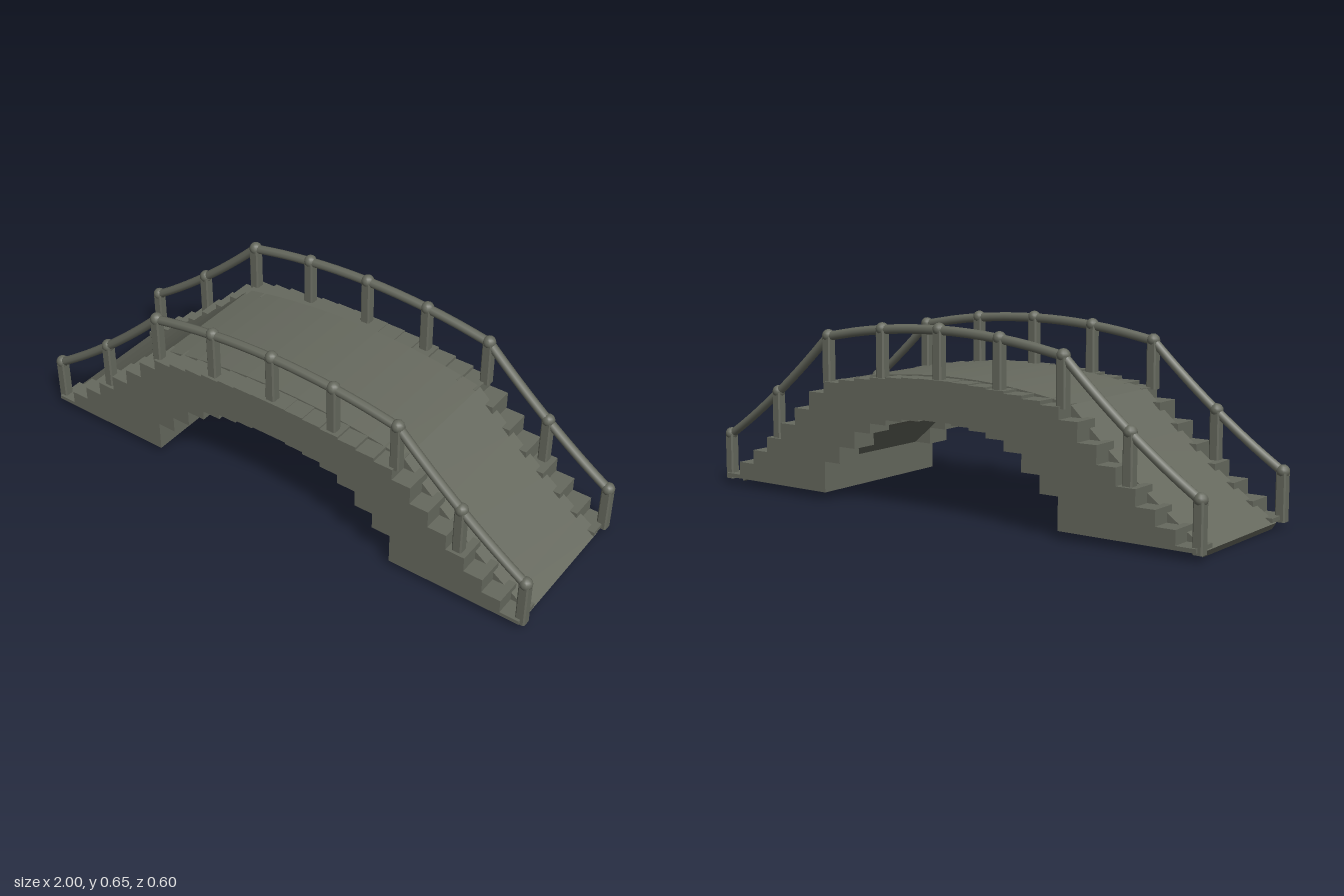
import * as THREE from 'three';

const STEP = 0.07, HALF = 0.98, KNEE = 0.49, BASE = 0.03;

// Height of the walking surface: concave ramps joined by a shallow crown
function deckY(x) {
  const a = Math.abs(x);
  if (a <= KNEE) return 0.471 - 0.051 * (a / KNEE) ** 2;
  const u = (HALF - a) / KNEE;
  return 0.026 + 0.314 * u + 0.08 * u * u;
}

// Height of the arch underside, sampled every step from the crown outwards
const SOFFIT = [0.33, 0.328, 0.322, 0.313, 0.295, 0.26, 0.2, 0.14];
const soffitCurve = new THREE.SplineCurve(
  [...SOFFIT.slice(1).map((y, i) => new THREE.Vector2(-(i + 1) * STEP, y)).reverse(),
    ...SOFFIT.map((y, i) => new THREE.Vector2(i * STEP, y))]);

function extrude(points, z0, z1) {
  const geo = new THREE.ExtrudeGeometry(new THREE.Shape(points), { depth: z1 - z0, bevelEnabled: false });
  return geo.translate(0, 0, z0);
}

// Stepped outline of a side wall, blocky above and below
function wallPoints() {
  const top = [], bottom = [];
  for (let i = 0; i < 28; i++) {
    const x0 = -HALF + i * STEP, x1 = x0 + STEP, mid = (x0 + x1) / 2;
    const outer = Math.round(Math.max(Math.abs(x0), Math.abs(x1)) / STEP);
    const yt = deckY(mid) - 0.005;
    const yb = outer > 7 ? BASE : SOFFIT[outer];
    top.push(new THREE.Vector2(x0, yt), new THREE.Vector2(x1, yt));
    // Merge the flat feet so that no corner is doubled
    if (outer <= 7 || i === 0 || i === 21) bottom.push(new THREE.Vector2(x0, yb));
    if (outer <= 7 || i === 6 || i === 27) bottom.push(new THREE.Vector2(x1, yb));
  }
  return [...bottom, ...top.reverse()];
}

// Smooth arch body between the walls
function corePoints() {
  const pts = [new THREE.Vector2(-0.95, BASE), new THREE.Vector2(-KNEE, BASE)];
  pts.push(...soffitCurve.getPoints(56));
  pts.push(new THREE.Vector2(KNEE, BASE), new THREE.Vector2(0.95, BASE));
  for (let i = 0; i <= 38; i++) {
    const x = 0.95 - i * 0.05;
    pts.push(new THREE.Vector2(x, deckY(x) - 0.012));
  }
  return pts;
}

// Square post with chamfered edges, standing on its origin
function postGeometry(height) {
  const h = 0.018, c = 0.013;
  const pts = [[h, -c], [h, c], [c, h], [-c, h], [-h, c], [-h, -c], [-c, -h], [c, -h]]
    .map(([x, y]) => new THREE.Vector2(x, y));
  return extrude(pts, 0, height).rotateX(-Math.PI / 2);
}

export function createModel() {
  const stone = new THREE.MeshStandardMaterial({ color: 0x66695e });
  stone.name = 'greyGreenStone';
  const model = new THREE.Group();
  model.name = 'archedFootbridge';

  const add = (parent, name, geo, x = 0, y = 0, z = 0) => {
    const mesh = new THREE.Mesh(geo, stone);
    mesh.name = name;
    mesh.position.set(x, y, z);
    parent.add(mesh);
    return mesh;
  };

  // Arch body and stepped side walls
  add(model, 'archBody', extrude(corePoints(), -0.21, 0.21));
  const wall = extrude(wallPoints(), -0.05, 0.05);
  for (const s of [1, -1]) add(model, s > 0 ? 'frontWall' : 'backWall', wall, 0, 0, s * 0.25);

  // Planks laid along the walking surface
  const planks = new THREE.Group();
  planks.name = 'planks';
  model.add(planks);
  const thick = 0.028;
  for (let i = 0; i < 28; i++) {
    const x0 = -HALF + i * STEP, x1 = x0 + STEP;
    const y0 = deckY(x0), y1 = deckY(x1);
    const geo = new THREE.BoxGeometry(Math.hypot(x1 - x0, y1 - y0), thick, 0.46);
    geo.translate(0, -thick / 2, 0);
    const plank = add(planks, 'plank', geo, (x0 + x1) / 2, (y0 + y1) / 2);
    plank.rotation.z = Math.atan2(y1 - y0, x1 - x0);
  }

  // Railings: posts, ball caps and three handrail runs on each side
  const RISE = 0.157, END = 0.977;
  const ball = new THREE.SphereGeometry(0.023, 12, 8);
  const runs = [[-END, -KNEE], [-KNEE, KNEE], [KNEE, END]].map(([a, b]) => {
    const pts = [];
    for (let i = 0; i <= 8; i++) {
      const x = a + (b - a) * i / 8;
      pts.push(new THREE.Vector3(x, deckY(x) + RISE, 0));
    }
    return new THREE.TubeGeometry(new THREE.CatmullRomCurve3(pts), 16, 0.016, 8);
  });
  for (const s of [1, -1]) {
    const railing = new THREE.Group();
    railing.name = s > 0 ? 'frontRailing' : 'backRailing';
    railing.position.z = s * 0.272;
    model.add(railing);
    for (const run of runs) add(railing, 'handrail', run);
    for (let i = -4; i <= 4; i++) {
      const x = i * END / 4, y = deckY(x);
      add(railing, 'post', postGeometry(RISE + 0.005), x, y - 0.006);
      add(railing, 'ballCap', ball, x, y + RISE + 0.002);
    }
  }
  return model;
}
